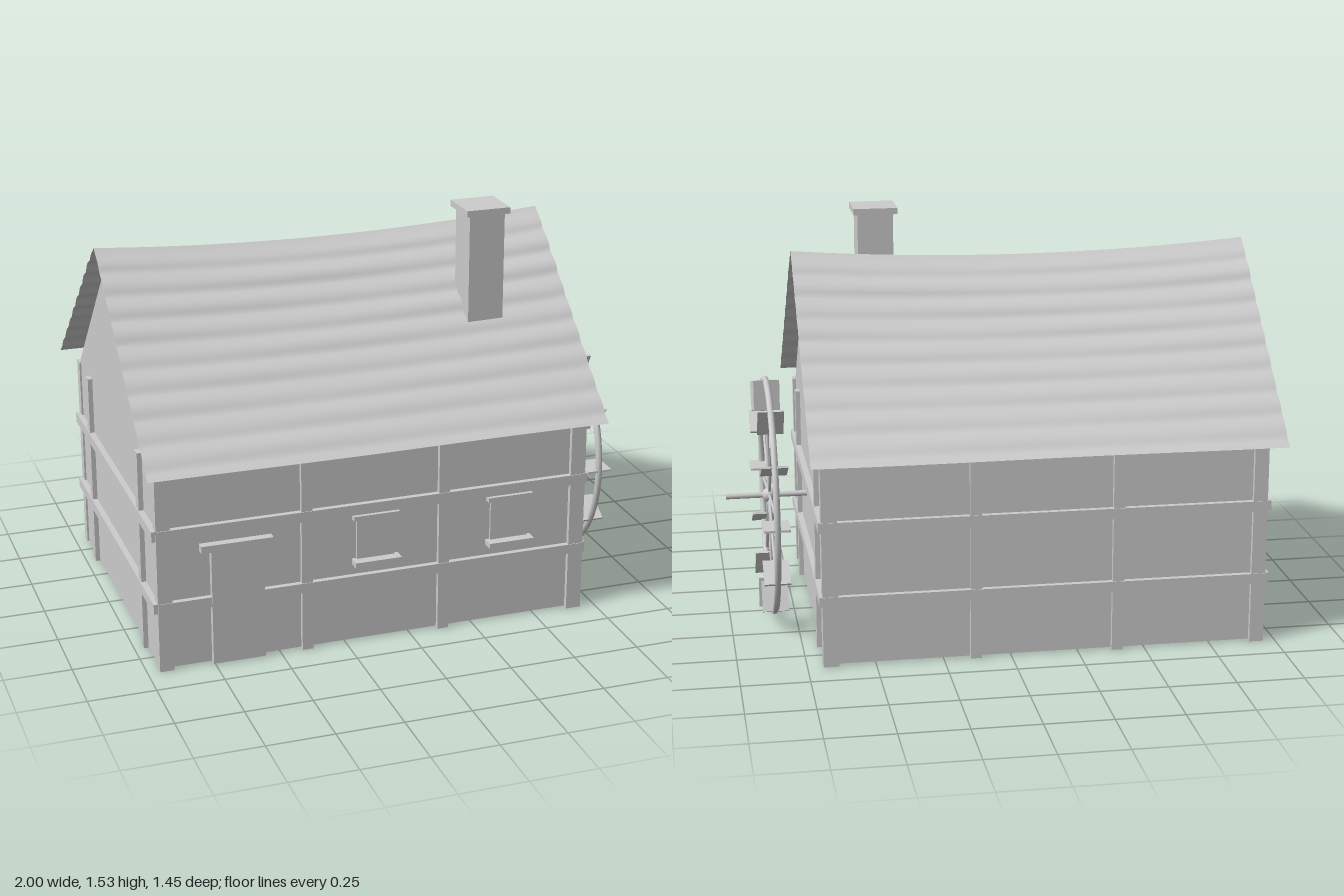
import * as THREE from 'three';

const MID = -0.134; // centre of the house along x
const HALF = 0.814; // half length of the walls

export function createModel() {
  const model = new THREE.Group();
  model.name = 'watermill';
  const plaster = new THREE.MeshStandardMaterial({ color: 0xcccccc, side: THREE.DoubleSide });
  plaster.name = 'light grey';

  const add = (name, geometry, parent = model) => {
    const mesh = new THREE.Mesh(geometry, plaster);
    mesh.name = name;
    parent.add(mesh);
    return mesh;
  };
  // Box given by its min and max on each axis
  const box = (name, x0, x1, y0, y1, z0, z1, parent = model) => {
    const mesh = add(name, new THREE.BoxGeometry(x1 - x0, y1 - y0, z1 - z0), parent);
    mesh.position.set((x0 + x1) / 2, (y0 + y1) / 2, (z0 + z1) / 2);
    return mesh;
  };
  // How far the ridge dips at a distance x from the middle
  const sag = (x) => 0.038 * (1 - (x / 0.866) ** 2);

  // Walls with pointed gables, the hidden ridge dipping with the roof
  const outline = new THREE.Shape([
    [-0.605, 0.005], [0.605, 0.005], [0.605, 0.765], [0, 1.392], [-0.605, 0.765],
  ].map(([z, y]) => new THREE.Vector2(z, y)));
  const wallGeo = new THREE.ExtrudeGeometry(outline, { depth: HALF * 2, steps: 16, bevelEnabled: false });
  wallGeo.translate(0, 0, -HALF).rotateY(Math.PI / 2);
  const wp = wallGeo.attributes.position;
  for (let i = 0; i < wp.count; i++) {
    if (wp.getY(i) > 1) wp.setY(i, wp.getY(i) - sag(wp.getX(i)));
  }
  wallGeo.computeVertexNormals();
  add('walls', wallGeo).position.x = MID;

  // Timber frame: posts and rails on all four sides
  const frame = new THREE.Group();
  frame.name = 'timberFrame';
  model.add(frame);
  const rails = [[0.23, 0.268], [0.51, 0.55]];
  for (const s of [-1, 1]) {
    const z0 = s > 0 ? 0.58 : -0.623, z1 = s > 0 ? 0.623 : -0.58;
    for (const [x0, x1] of [[-0.955, -0.902], [-0.418, -0.376], [0.11, 0.152], [0.634, 0.692]]) {
      box('post', x0, x1, 0, 0.772, z0, z1, frame);
    }
    for (const [y0, y1] of rails) box('longRail', -0.955, 0.692, y0, y1, z0 + s * 0.003, z1 + s * 0.003, frame);

    const xc = MID + s * (HALF + 0.004);
    for (const z of [-0.4, 0.4]) box('sidePost', xc - 0.014, xc + 0.014, 0, 0.772, z - 0.021, z + 0.021, frame);
    for (const [y0, y1] of rails) box('sideRail', xc - 0.018, xc + 0.018, y0, y1, -0.62, 0.62, frame);
  }

  // Door and its lintel
  box('door', -0.757, -0.56, 0.004, 0.452, 0.59, 0.63);
  box('doorLintel', -0.795, -0.527, 0.448, 0.475, 0.59, 0.637);

  // Windows with lintel and sill
  for (const x of [-0.133, 0.391]) {
    box('windowPane', x - 0.073, x + 0.073, 0.325, 0.495, 0.59, 0.615);
    box('windowLintel', x - 0.088, x + 0.088, 0.488, 0.506, 0.59, 0.632);
    box('windowSill', x - 0.089, x + 0.089, 0.31, 0.331, 0.59, 0.652);
  }

  // Sagging roof of rippled shingle rows, one sheet per slope
  const ROWS = 9.5;
  for (const side of [1, -1]) {
    const geo = new THREE.PlaneGeometry(1.732, 1, 28, 76);
    const p = geo.attributes.position;
    for (let i = 0; i < p.count; i++) {
      const x = p.getX(i), t = 0.5 - p.getY(i);
      const row = (t * ROWS) % 1;
      const ripple = 0.011 * Math.sin(Math.PI * row ** 1.4) * Math.min(1, t * 8)
        * (1 + 0.15 * Math.sin(x * 5 + Math.floor(t * ROWS) * 2 * side));
      const y = 1.415 - 0.64 * t - sag(x) * (1 - t);
      p.setXYZ(i, x, y + ripple * 0.75, 0.725 * t + ripple * 0.66 * (1 - t));
    }
    geo.computeVertexNormals();
    const slope = add(side > 0 ? 'frontRoof' : 'backRoof', geo);
    slope.rotation.y = side > 0 ? 0 : Math.PI;
    slope.position.x = MID;
  }

  // Chimney
  box('chimney', 0.32, 0.457, 1.0, 1.51, 0.215, 0.352);
  box('chimneyCap', 0.304, 0.473, 1.506, 1.53, 0.198, 0.365);

  // Water wheel, built around the x axis
  const wheel = new THREE.Group();
  wheel.name = 'waterWheel';
  wheel.position.set(0.835, 0.47, 0);
  model.add(wheel);
  add('rim', new THREE.TorusGeometry(0.444, 0.0125, 10, 64).rotateY(Math.PI / 2), wheel);
  add('hub', new THREE.SphereGeometry(0.028, 16, 12), wheel);
  add('axle', new THREE.CylinderGeometry(0.011, 0.011, 0.325, 12).rotateZ(Math.PI / 2), wheel).position.x = 0.0025;
  for (let i = 0; i < 4; i++) {
    const spoke = add('spoke', new THREE.CylinderGeometry(0.006, 0.006, 0.75, 8), wheel);
    spoke.rotation.x = 0.098 + (i * Math.PI) / 4;
  }
  for (let i = 0; i < 12; i++) {
    const paddle = add('paddle', new THREE.BoxGeometry(0.098, 0.118, 0.008).translate(0, 0.394, 0), wheel);
    paddle.rotation.x = (i * Math.PI) / 6;
  }
  // Spoke bars lean toward the front at the top
  return model;
}
